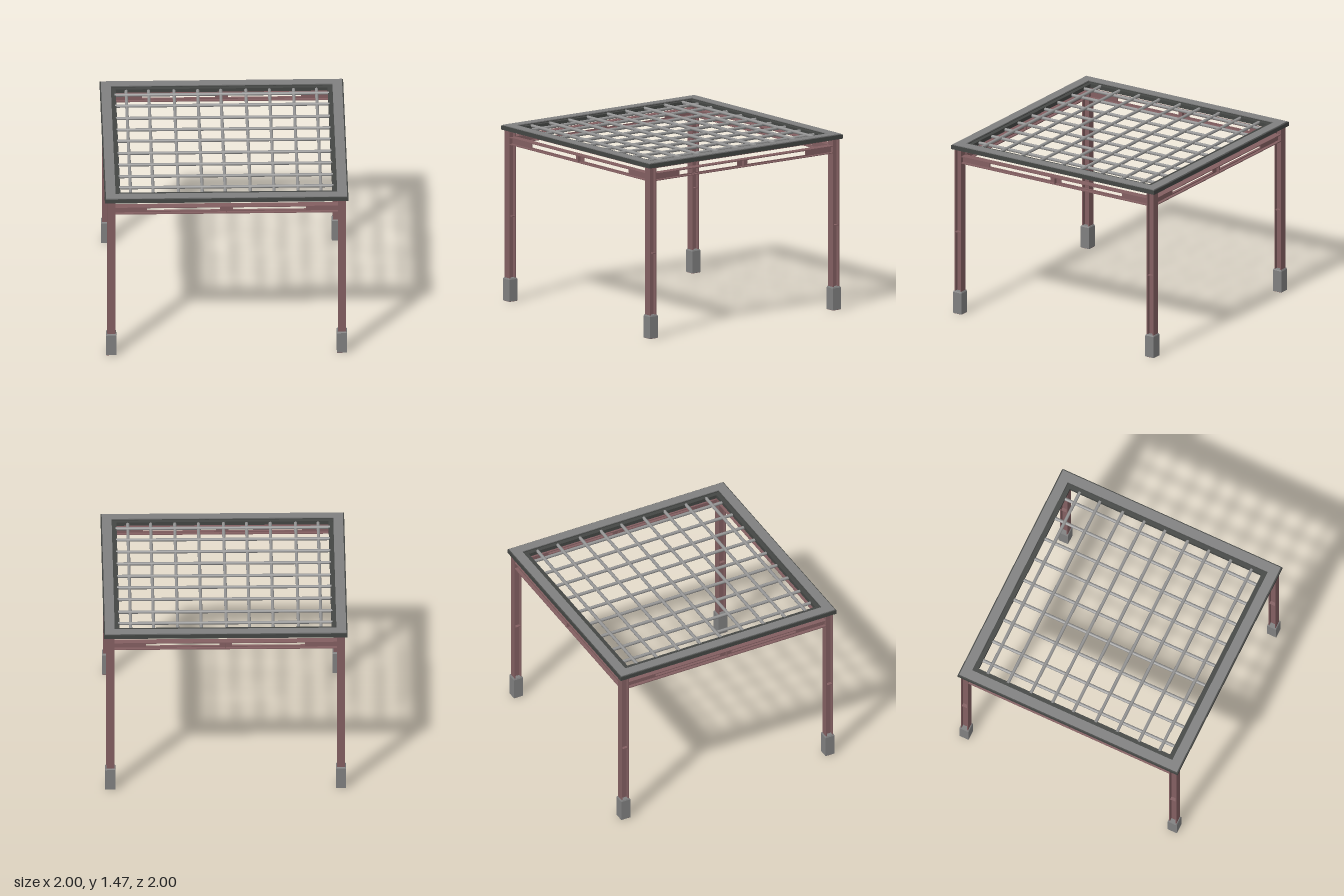
import * as THREE from 'three';

const mat = (color, flatShading = false) => new THREE.MeshStandardMaterial({ color, flatShading });

export function createModel() {
  const root = new THREE.Group();
  const steel = mat(0x835f61), grey = mat(0x808080, true), dark = mat(0x444644), barGrey = mat(0x949494);
  const LEG = 0.947, LEG_W = 0.066, LEG_TOP = 1.428;

  const box = (parent, name, m, w, h, d, x, y, z) => {
    const mesh = new THREE.Mesh(new THREE.BoxGeometry(w, h, d), m);
    mesh.name = name;
    mesh.position.set(x, y, z);
    parent.add(mesh);
    return mesh;
  };

  const square = (P, r) => new P([[-r, -r], [r, -r], [r, r], [-r, r]].map(([x, y]) => new THREE.Vector2(x, y)));

  // Flat square ring lying between heights y0 and y1
  const ring = (name, m, outer, inner, y0, y1) => {
    const shape = square(THREE.Shape, outer);
    shape.holes.push(square(THREE.Path, inner));
    const geo = new THREE.ExtrudeGeometry(shape, { depth: y1 - y0, bevelEnabled: false });
    geo.rotateX(-Math.PI / 2);
    const mesh = new THREE.Mesh(geo, m);
    mesh.name = name;
    mesh.position.y = y0;
    root.add(mesh);
  };

  // Legs: H-section columns in sleeve feet
  for (const sx of [-1, 1]) for (const sz of [-1, 1]) {
    const leg = new THREE.Group();
    leg.name = 'leg';
    leg.position.set(sx * LEG, 0, sz * LEG);
    root.add(leg);
    const t = 0.008, y0 = 0.002, h = LEG_TOP - y0, mid = y0 + h / 2;
    for (const s of [-1, 1])
      box(leg, 'legFlange', steel, LEG_W, h, t, 0, mid, s * (LEG_W - t) / 2);
    box(leg, 'legWeb', steel, t, h, LEG_W - 2 * t, 0, mid, 0);
    box(leg, 'legStiffener', steel, LEG_W - 0.004, 0.007, LEG_W - 2 * t, 0, 0.71, 0);
    box(leg, 'basePlate', steel, 0.078, 0.004, 0.078, 0, 0.002, 0);

    // Foot with a chamfered top edge
    box(leg, 'foot', grey, 0.084, 0.182, 0.084, 0, 0.094, 0);
    const cap = new THREE.CylinderGeometry(0.074 / Math.SQRT2, 0.084 / Math.SQRT2, 0.011, 4);
    cap.rotateY(Math.PI / 4);
    const top = new THREE.Mesh(cap, grey);
    top.name = 'footChamfer';
    top.position.y = 0.1905;
    leg.add(top);
  }

  // Side beams: I-section with two long openings in the web
  const span = 2 * (LEG - LEG_W / 2);
  for (let i = 0; i < 4; i++) {
    const beam = new THREE.Group();
    beam.name = 'sideBeam';
    beam.rotation.y = i * Math.PI / 2;
    root.add(beam);
    for (const y of [1.319, 1.376])
      box(beam, 'beamFlange', steel, span, 0.007, 0.062, 0, y, LEG);

    const web = new THREE.Shape();
    const hw = span / 2;
    web.moveTo(-hw, 1.32).lineTo(hw, 1.32).lineTo(hw, 1.375).lineTo(-hw, 1.375);
    for (const x of [-0.652, 0.052]) {
      const hole = new THREE.Path();
      hole.moveTo(x, 1.331).lineTo(x, 1.365).lineTo(x + 0.6, 1.365).lineTo(x + 0.6, 1.331);
      web.holes.push(hole);
    }
    const mesh = new THREE.Mesh(new THREE.ExtrudeGeometry(web, { depth: 0.008, bevelEnabled: false }), steel);
    mesh.name = 'beamWeb';
    mesh.position.z = LEG - 0.004;
    beam.add(mesh);
    box(beam, 'beamStiffener', steel, 0.007, 0.055, 0.058, 0, 1.3475, LEG);
  }

  // Top frame: steel bearer, dark rim, raised grey top and lower inner ledge
  ring('bearer', steel, 0.98, 0.9, 1.424, 1.434);
  ring('frameRim', dark, 1.0, 0.905, 1.433, 1.467);
  ring('frameTop', grey, 0.99, 0.91, 1.46, 1.474);
  ring('frameLedge', dark, 0.908, 0.87, 1.431, 1.462);

  // Grating: two crossing layers of round bars
  const spots = [-0.785, -0.6, -0.392, -0.197, -0.008, 0.198, 0.392, 0.59, 0.778];
  const barGeo = new THREE.CylinderGeometry(0.0135, 0.0135, 1.76, 10);
  for (const p of spots) {
    const across = new THREE.Mesh(barGeo, barGrey);
    across.name = 'crossBar';
    across.rotation.z = Math.PI / 2;
    across.position.set(0, 1.456, p);
    const along = new THREE.Mesh(barGeo, barGrey);
    along.name = 'lengthBar';
    along.rotation.x = Math.PI / 2;
    along.position.set(p, 1.446, 0);
    root.add(across, along);
  }
  return root;
}
